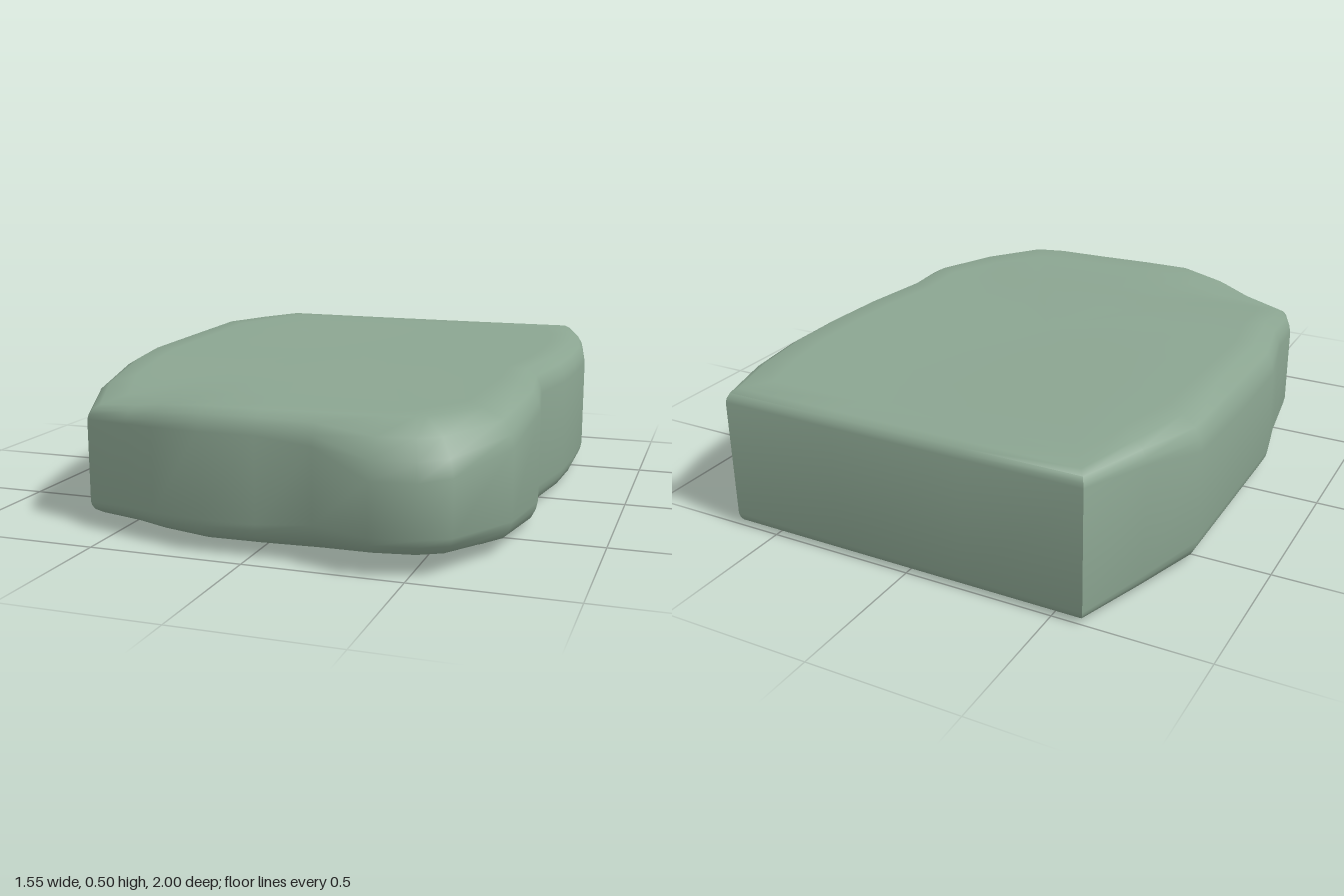
import * as THREE from 'three';
import { toCreasedNormals } from 'three/addons/utils/BufferGeometryUtils.js';

const smooth = THREE.MathUtils.smoothstep;

// Outline seen from above: x, z, bevel width, bevel height of the upper edge
const outline = [
  [-0.60, -1, 0.035, 0.04], [-0.2, -1, 0.035, 0.04], [0.25, -1, 0.035, 0.04], [0.65, -1, 0.035, 0.04],
  [0.73, -0.77, 0.05, 0.06], [0.77, -0.55, 0.06, 0.08], [0.775, -0.3, 0.06, 0.08], [0.765, -0.1, 0.06, 0.08],
  [0.725, 0.14, 0.05, 0.08], [0.76, 0.36, 0.07, 0.09], [0.74, 0.68, 0.1, 0.11], [0.62, 0.93, 0.14, 0.15],
  [0.53, 0.98, 0.14, 0.16], [0.39, 1, 0.13, 0.16], [0.2, 0.935, 0.06, 0.09], [0.02, 0.937, 0.05, 0.07],
  [-0.16, 0.94, 0.05, 0.07], [-0.34, 0.89, 0.05, 0.06], [-0.46, 0.83, 0.045, 0.05], [-0.63, 0.77, 0.04, 0.04],
  [-0.695, 0.6, 0.05, 0.07], [-0.73, 0.35, 0.06, 0.08], [-0.775, 0.14, 0.07, 0.1], [-0.775, -0.2, 0.07, 0.11],
  [-0.775, -0.55, 0.07, 0.1], [-0.69, -0.77, 0.05, 0.06],
];

// Gently uneven upper face, lower towards the front and its right corner
function topY(x, z) {
  const hump = 0.017 * Math.exp(-((x + 0.55) ** 2 + (z + 0.5) ** 2) / 0.15);
  const corner = 0.06 * smooth(-x, 0.15, 0.65) * smooth(z, 0.5, 0.78);
  return 0.483 + hump - 0.035 * smooth(z, 0.25, 0.65) - corner;
}

// Underside, rising slightly at the front
const bottomY = (x, z) => 0.003 + 0.035 * smooth(z, 0.3, 0.9);

// Outline point moved inwards along its mitred normal
function inset(j, amount) {
  const n = outline.length;
  const [px, pz] = outline[(j + n - 1) % n], [x, z] = outline[j], [qx, qz] = outline[(j + 1) % n];
  const a = new THREE.Vector2(pz - z, x - px).normalize();
  const b = new THREE.Vector2(z - qz, qx - x).normalize();
  const m = a.clone().add(b).normalize();
  const d = amount / Math.max(m.dot(a), 0.5);
  return [x + m.x * d, z + m.y * d];
}

// Rings from the underside centre, up the wall, to the upper centre:
// side (0 bottom, 1 top), scale about the centre, bevel width and height fractions
const rings = [
  [0, 0, 1, 0], [0, 0.35, 1, 0], [0, 0.7, 1, 0], [0, 1, 1, 0], [0, 1, 0.3, 0.35], [0, 1, 0.08, 0.7], [0, 1, 0, 1],
  [1, 1, 0, 1], [1, 1, 0.1, 0.65], [1, 1, 0.38, 0.27], [1, 1, 1, 0],
  [1, 0.9, 1, 0], [1, 0.75, 1, 0], [1, 0.55, 1, 0], [1, 0.3, 1, 0], [1, 0, 1, 0],
];

function slabGeometry() {
  const positions = [], index = [], n = outline.length, centreZ = -0.05;
  for (const [top, scale, wide, high] of rings) {
    for (let j = 0; j < n; j++) {
      const [, , w, h] = outline[j];
      let [x, z] = inset(j, w * wide);
      x *= scale;
      z = centreZ + (z - centreZ) * scale;
      const y = top ? topY(x, z) - h * high : bottomY(x, z) + Math.min(h, 0.085) * high;
      positions.push(x, y, z);
    }
  }
  const last = rings.length - 2;
  for (let i = 0; i <= last; i++) {
    for (let j = 0; j < n; j++) {
      const k = (j + 1) % n;
      const a = i * n + j, b = i * n + k, c = b + n, d = a + n;
      if (i > 0) index.push(a, d, b);
      else index.push(a, d, c);
      if (i > 0 && i < last) index.push(b, d, c);
    }
  }
  const geometry = new THREE.BufferGeometry();
  geometry.setAttribute('position', new THREE.Float32BufferAttribute(positions, 3));
  geometry.setIndex(index);
  return toCreasedNormals(geometry, 0.95);
}

export function createModel() {
  const group = new THREE.Group();
  group.name = 'stoneSlab';
  const stone = new THREE.Mesh(slabGeometry(), new THREE.MeshStandardMaterial({ color: 0x8ba591 }));
  stone.name = 'slab';
  group.add(stone);
  return group;
}
